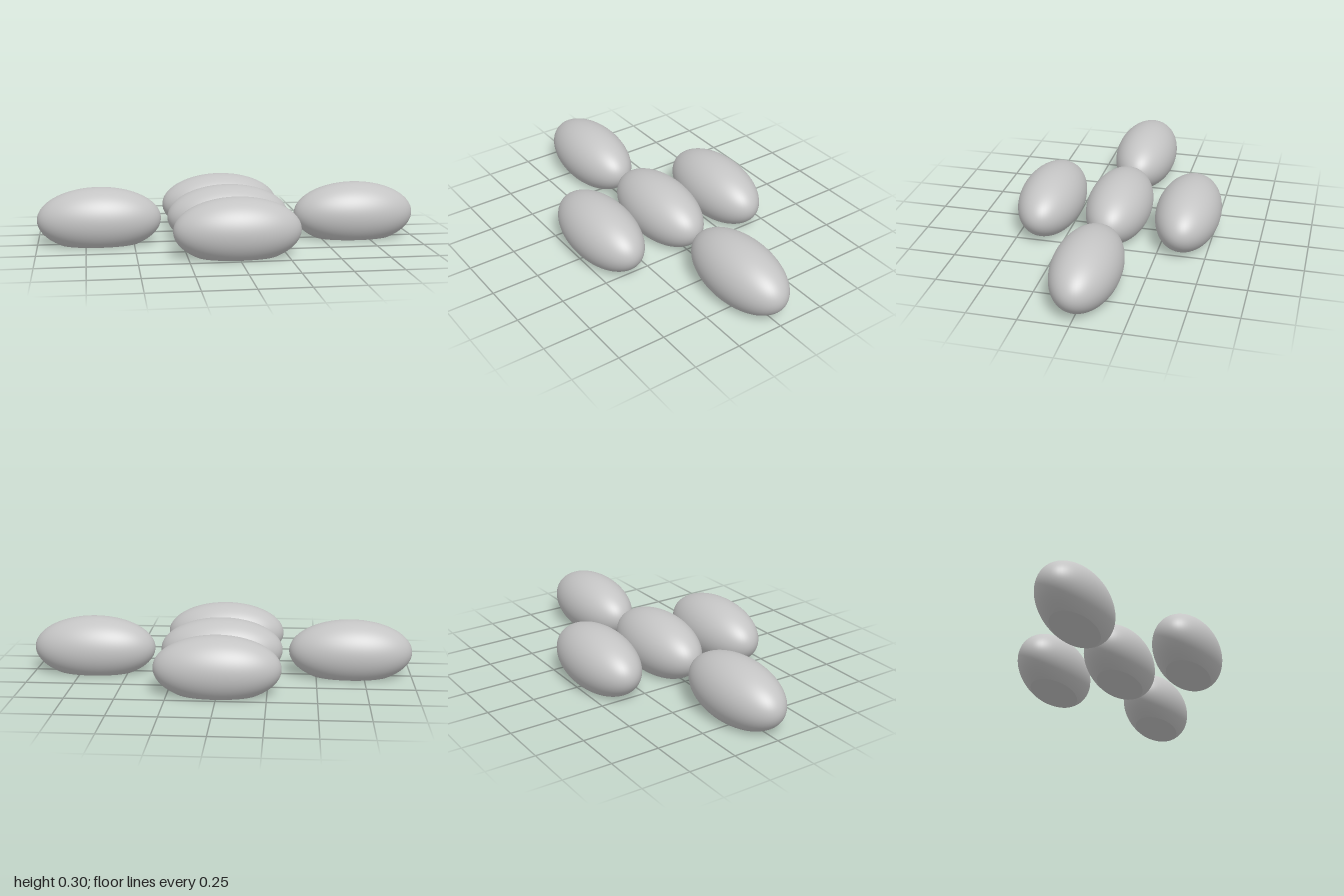
import * as THREE from 'three';

const RX = 0.322, R = 0.168;          // long and short radii of a pebble
const CENTRE_Y = 0.13;                // height of the centre above the flat base
const STEP_X = 0.678, STEP_Z = 0.37;  // spacing of the cross layout

export function createModel() {
  const model = new THREE.Group();
  model.name = 'pebbleCross';
  const grey = new THREE.MeshStandardMaterial({ color: 0xc4c4c4 });
  grey.name = 'grey';

  // Ellipsoid shell, open below the ground plane
  const cut = Math.acos(-CENTRE_Y / R);
  const shell = new THREE.SphereGeometry(1, 64, 40, 0, Math.PI * 2, 0, cut);
  shell.scale(RX, R, R).translate(0, CENTRE_Y, 0);

  // Flat elliptical base closing the cut
  const base = new THREE.CircleGeometry(Math.sin(cut), 64);
  base.rotateX(Math.PI / 2).scale(RX, 1, R);

  // One pebble in the middle and four around it
  const layout = {
    centre: [0, 0], left: [1, 0], right: [-1, 0], front: [0, 1], back: [0, -1],
  };
  for (const [side, [x, z]] of Object.entries(layout)) {
    const pebble = new THREE.Group();
    pebble.name = side + 'Pebble';
    const body = new THREE.Mesh(shell, grey);
    body.name = side + 'Body';
    const foot = new THREE.Mesh(base, grey);
    foot.name = side + 'FlatBase';
    pebble.add(body, foot);
    pebble.position.set(x * STEP_X, 0, z * STEP_Z);
    model.add(pebble);
  }
  return model;
}
